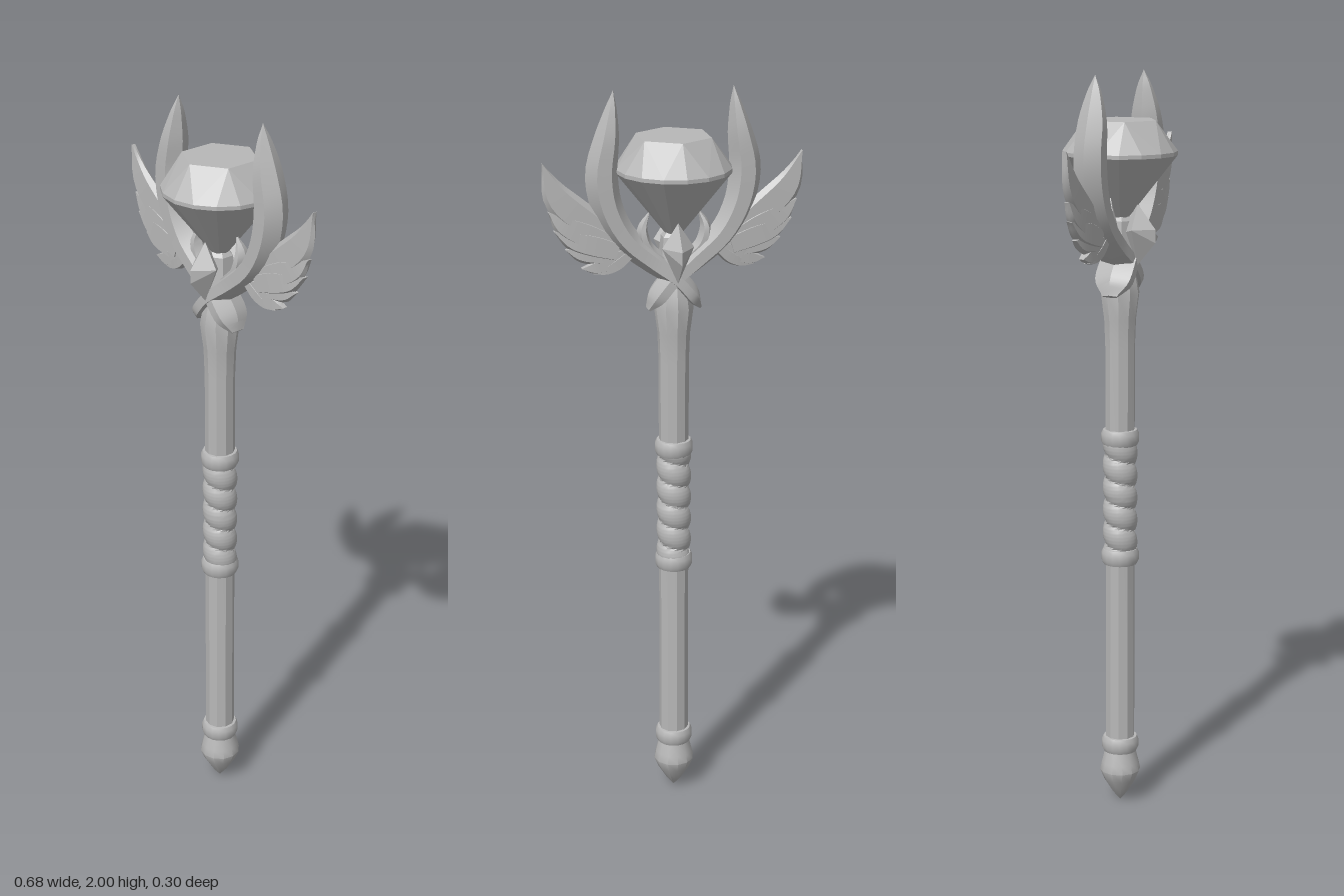
import * as THREE from 'three';
import { toCreasedNormals } from 'three/addons/utils/BufferGeometryUtils.js';
import { ConvexGeometry } from 'three/addons/geometries/ConvexGeometry.js';

const V = (x, y, z = 0) => new THREE.Vector3(x, y, z);

// Sweeps a bevelled hexagonal section along a path in the xy plane.
// Each row is [x, y, halfWidth, halfDepth].
function sweep(rows, { side = 1, steps = 20, z = 0, flat = 0.45 } = {}) {
  const path = new THREE.CatmullRomCurve3(rows.map(r => V(r[0] * side, r[1])));
  const size = new THREE.CatmullRomCurve3(rows.map((r, i) => V(r[2], r[3], i)));
  const section = [[1, 0], [flat, 1], [-flat, 1], [-1, 0], [-flat, -1], [flat, -1]];
  const pos = [], index = [];
  for (let i = 0; i <= steps; i++) {
    const p = path.getPoint(i / steps), t = path.getTangent(i / steps), s = size.getPoint(i / steps);
    const w = Math.max(s.x, 0.0005), d = Math.max(s.y, 0.0005);
    for (const [a, b] of section) pos.push(p.x - t.y * a * w, p.y + t.x * a * w, z + b * d);
  }
  for (let i = 0; i < steps; i++) {
    for (let j = 0; j < 6; j++) {
      const a = i * 6 + j, b = i * 6 + (j + 1) % 6;
      index.push(a, b, b + 6, a, b + 6, a + 6);
    }
  }
  const last = steps * 6;
  for (let j = 1; j < 5; j++) index.push(0, j + 1, j, last, last + j, last + j + 1);
  const g = new THREE.BufferGeometry();
  g.setAttribute('position', new THREE.Float32BufferAttribute(pos, 3));
  g.setIndex(index);
  return toCreasedNormals(g, 0.5);
}

const lathe = (profile, sides, crease = 0.6) =>
  toCreasedNormals(new THREE.LatheGeometry(profile.map(p => new THREE.Vector2(...p)), sides), crease);

const ringOf = (n, r, y, turn = 0) => Array.from({ length: n }, (_, i) => {
  const a = turn + i / n * Math.PI * 2;
  return V(Math.sin(a) * r, y, Math.cos(a) * r);
});

// Grip leather: a cylinder whose radius follows a spiral of overlapping bands
function wrapGeometry(y0, y1, turns) {
  const g = new THREE.CylinderGeometry(1, 1, y1 - y0, 24, 64, true);
  const p = g.attributes.position;
  for (let i = 0; i < p.count; i++) {
    const row = Math.floor(i / 25) / 64, around = (i % 25) / 24;
    const f = (((1 - row) * turns + around) % 1 + 1) % 1;
    const r = 0.036 + 0.011 * Math.pow(Math.sin(Math.PI * f), 0.5);
    const a = around * Math.PI * 2;
    p.setX(i, Math.sin(a) * r);
    p.setZ(i, Math.cos(a) * r);
  }
  g.translate(0, (y0 + y1) / 2, 0);
  return toCreasedNormals(g, 0.7);
}

export function createModel() {
  const model = new THREE.Group();
  const grey = new THREE.MeshStandardMaterial({ color: 0xb8b8b8 });
  grey.name = 'stone grey';
  const add = (name, geometry, parent = model) => {
    const m = new THREE.Mesh(geometry, grey);
    m.name = name;
    parent.add(m);
    return m;
  };

  // Shaft, flared under the head
  add('shaft', lathe([[0, 0.14], [0.04, 0.14], [0.04, 1.28], [0.043, 1.36], [0.052, 1.43],
    [0.045, 1.47], [0.03, 1.52], [0, 1.53]], 10));

  // Pommel
  add('pommel', lathe([[0, 0], [0.02, 0.024], [0.045, 0.065], [0.056, 0.092], [0.051, 0.115],
    [0.042, 0.15], [0, 0.15]], 12));

  // Rounded rings around the shaft
  for (const y of [0.17, 0.71, 1.04]) {
    add('shaftRing', lathe([[0.036, y - 0.022], [0.046, y - 0.021], [0.051, y - 0.01],
      [0.051, y + 0.01], [0.046, y + 0.021], [0.036, y + 0.022]], 16));
  }
  add('gripWrap', wrapGeometry(0.72, 1.03, 5));

  // Large cut gem
  add('gem', new ConvexGeometry([
    ...ringOf(6, 0.1, 1.88), ...ringOf(16, 0.15, 1.8), ...ringOf(16, 0.15, 1.79), V(0, 1.6, 0),
  ]));

  // Small gems on the front and back of the crossing
  for (const s of [1, -1]) {
    add('smallGem', new ConvexGeometry([
      V(0, 1.665, s * 0.05), V(0, 1.505, s * 0.05), V(0.042, 1.6, s * 0.05), V(-0.042, 1.6, s * 0.05),
      V(0, 1.6, s * 0.1), V(0, 1.565, s * 0.1), V(0, 1.585, 0),
    ]));
  }
  add('crossingCore', new ConvexGeometry([
    ...ringOf(6, 0.045, 1.53), ...ringOf(6, 0.035, 1.62), V(0, 1.46, 0), V(0, 1.66, 0),
  ]));

  for (const side of [1, -1]) {
    const half = new THREE.Group();
    half.name = side > 0 ? 'leftHalf' : 'rightHalf';
    model.add(half);
    const thick = side > 0 ? 1 : 0.94;

    // Horn: begins across the shaft, then curves up around the gem
    add('horn', sweep([
      [-0.068, 1.428, 0.006, 0.02], [-0.045, 1.46, 0.025, 0.048], [-0.005, 1.508, 0.027, 0.05],
      [0.06, 1.56, 0.033, 0.042], [0.128, 1.62, 0.036, 0.04], [0.172, 1.7, 0.04, 0.04],
      [0.187, 1.79, 0.042, 0.04], [0.172, 1.885, 0.032, 0.036], [0.16, 1.96, 0.014, 0.018],
      [0.155, 2.0, 0, 0],
    ].map(r => [r[0], r[1], r[2], r[3] * thick]), { side, steps: 32 }), half);

    // Small claw under the gem
    add('claw', sweep([
      [0.03, 1.56, 0.014, 0.024], [0.07, 1.595, 0.016, 0.024],
      [0.083, 1.64, 0.014, 0.02], [0.062, 1.69, 0, 0],
    ], { side, steps: 12 }), half);

    // Wing: overlapping feathers, longest at the top
    const feathers = [
      [[0.14, 1.6, 0.03], [0.225, 1.665, 0.042], [0.3, 1.735, 0.037], [0.338, 1.825, 0]],
      [[0.15, 1.6, 0.03], [0.225, 1.635, 0.04], [0.285, 1.665, 0.03], [0.325, 1.7, 0]],
      [[0.15, 1.59, 0.03], [0.215, 1.61, 0.035], [0.265, 1.625, 0.027], [0.312, 1.65, 0]],
      [[0.14, 1.58, 0.03], [0.195, 1.585, 0.032], [0.245, 1.59, 0.024], [0.283, 1.6, 0]],
      [[0.12, 1.585, 0.02], [0.165, 1.565, 0.026], [0.205, 1.55, 0.02], [0.242, 1.548, 0]],
      [[0.12, 1.58, 0.015], [0.15, 1.555, 0.018], [0.18, 1.54, 0.013], [0.212, 1.533, 0]],
    ];
    feathers.forEach((f, k) => {
      const depth = 0.012 + 0.0015 * (k % 3);
      add('feather', sweep(f.map(([x, y, w], i) => [x, y, w, depth * [1.3, 1.15, 0.9, 0.5][i]]),
        { side, steps: 14, flat: 0.7 }), half);
    });
  }
  return model;
}
